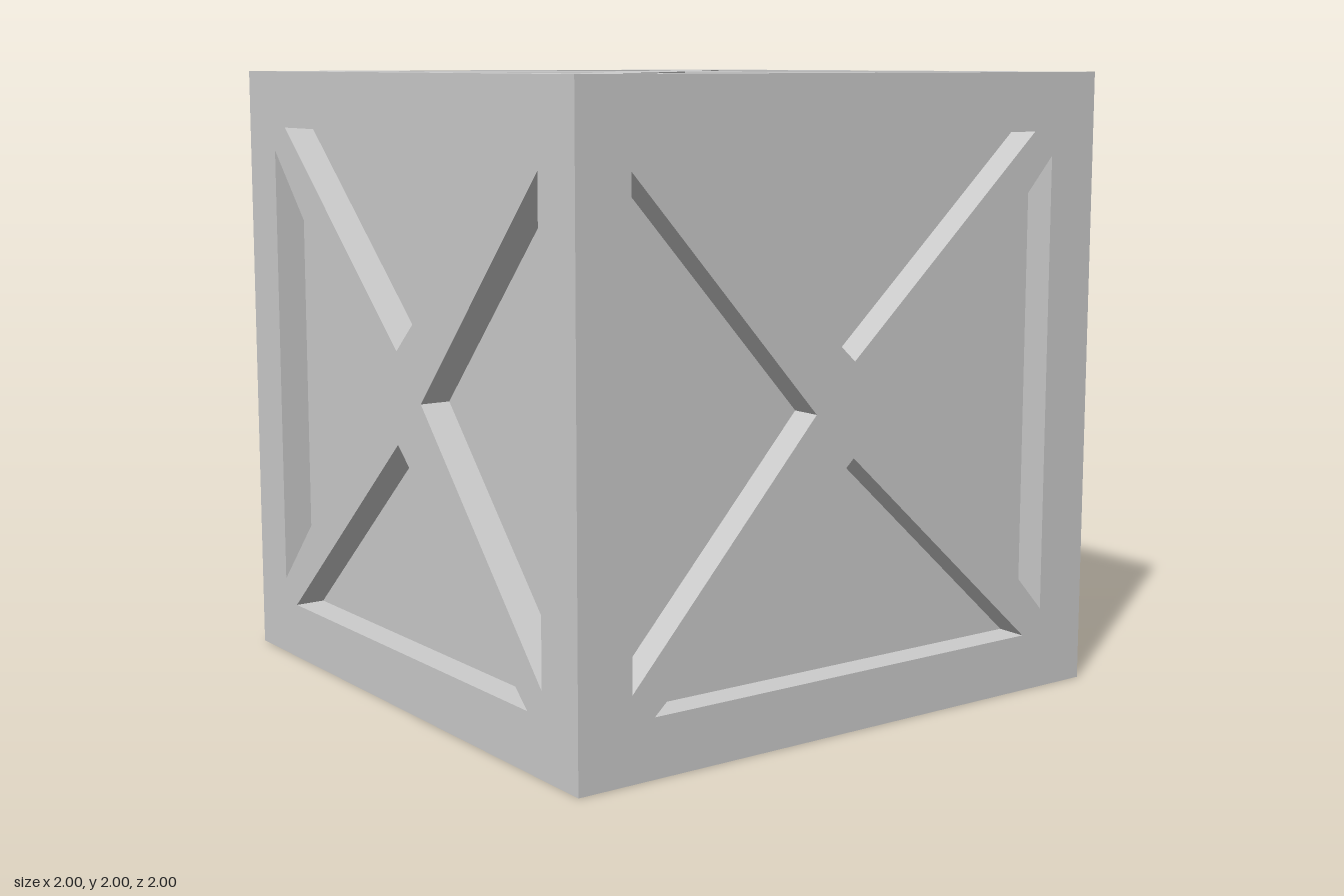
import * as THREE from 'three';

const HALF = 1;        // half the cube's side
const DEPTH = 0.1;     // depth of the recesses
const RIM = 0.815;     // distance from face centre to a recess's long side
const SPAN = 0.737;    // half length of that long side
const APEX = 0.147;    // distance from face centre to a recess's point

// Square panel with four triangular openings, mitred so six fit together
function panelGeometry() {
  const shape = new THREE.Shape([
    new THREE.Vector2(-HALF, -HALF), new THREE.Vector2(HALF, -HALF),
    new THREE.Vector2(HALF, HALF), new THREE.Vector2(-HALF, HALF),
  ]);
  const centre = new THREE.Vector2();
  for (let i = 0; i < 4; i++) {
    const corners = [[0, APEX], [SPAN, RIM], [-SPAN, RIM]].map(([x, y]) =>
      new THREE.Vector2(x, y).rotateAround(centre, i * Math.PI / 2));
    shape.holes.push(new THREE.Path(corners));
  }
  const geometry = new THREE.ExtrudeGeometry(shape, { depth: DEPTH, bevelEnabled: false });
  geometry.translate(0, 0, HALF - DEPTH);

  // Pull the outer edge of the back inwards for the mitre
  const p = geometry.attributes.position;
  const mitre = (v) => (Math.abs(v) > 0.95 ? Math.sign(v) * (HALF - DEPTH) : v);
  for (let i = 0; i < p.count; i++) {
    if (p.getZ(i) < HALF - DEPTH / 2) p.setXY(i, mitre(p.getX(i)), mitre(p.getY(i)));
  }
  geometry.computeVertexNormals();
  return geometry;
}

export function createModel() {
  const model = new THREE.Group();
  model.name = 'crate';
  const grey = new THREE.MeshStandardMaterial({ color: 0xcccccc });
  grey.name = 'light grey';

  // Inner block forms the floors of the recesses
  const side = 2 * (HALF - DEPTH);
  const core = new THREE.Mesh(new THREE.BoxGeometry(side, side, side), grey);
  core.name = 'core';
  core.position.y = HALF;
  model.add(core);

  // Braced frame on each of the six faces
  const geometry = panelGeometry();
  const q = Math.PI / 2;
  const faces = {
    front: [0, 0], left: [0, q], back: [0, 2 * q], right: [0, -q], top: [-q, 0], bottom: [q, 0],
  };
  for (const [name, [rx, ry]] of Object.entries(faces)) {
    const frame = new THREE.Mesh(geometry, grey);
    frame.name = name + 'Frame';
    frame.rotation.set(rx, ry, 0);
    frame.position.y = HALF;
    model.add(frame);
  }
  return model;
}
